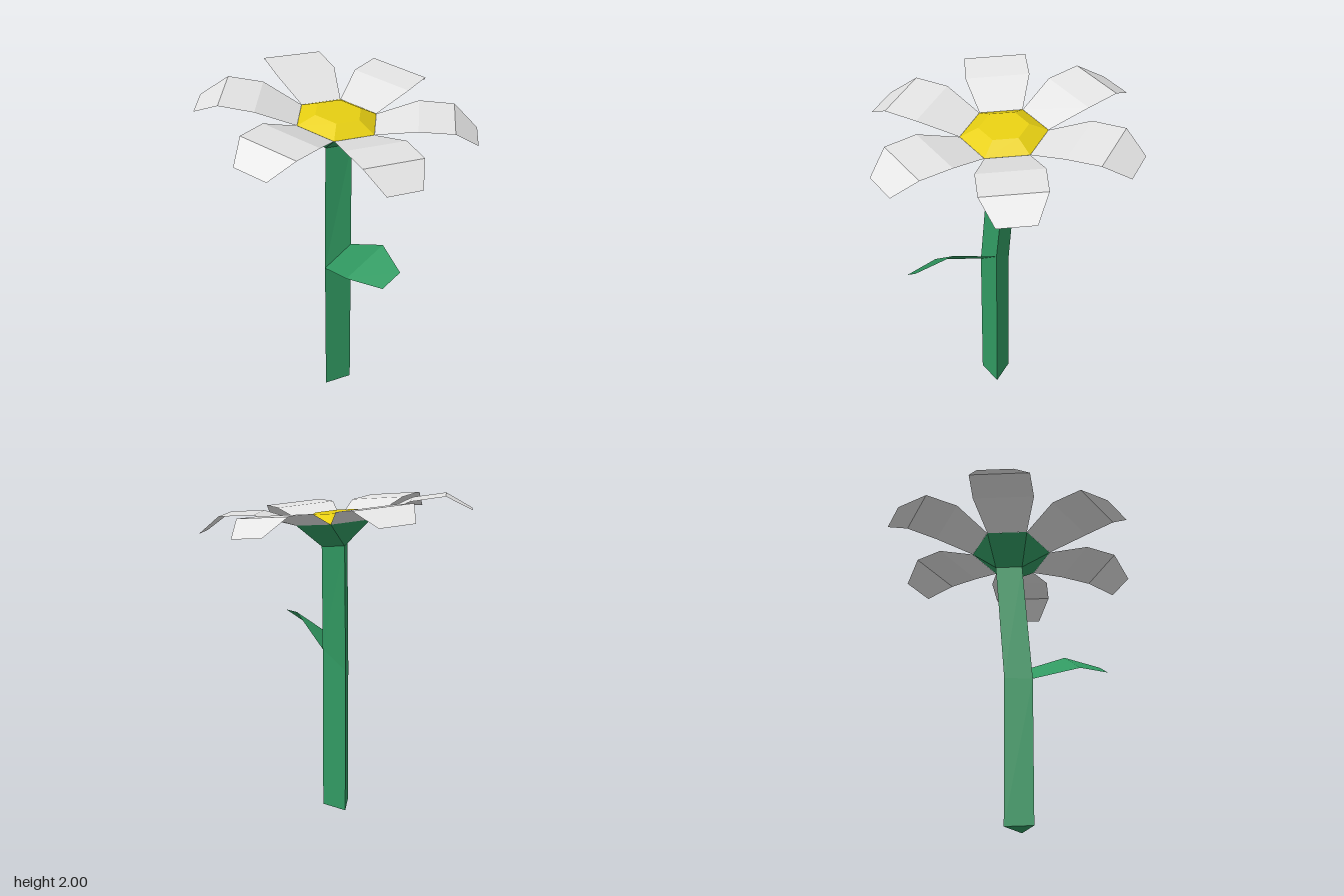
import * as THREE from 'three';

const TURN = -0.105; // heading of the first petal
const STEP = Math.PI / 3;

const polar = (a, r, y) => new THREE.Vector3(Math.sin(a) * r, y, Math.cos(a) * r);
const ring = (n, r, y, start) =>
  Array.from({ length: n }, (_, i) => polar(start + (i * 2 * Math.PI) / n, r, y));

// Flat-faced mesh from convex polygons, corners counter-clockwise from outside
function facets(name, polygons, material) {
  const points = [];
  for (const p of polygons) {
    for (let i = 1; i < p.length - 1; i++) points.push(p[0], p[i], p[i + 1]);
  }
  const geometry = new THREE.BufferGeometry().setFromPoints(points);
  geometry.computeVertexNormals();
  const mesh = new THREE.Mesh(geometry, material);
  mesh.name = name;
  return mesh;
}

// Side walls between two rings of equal count
const walls = (low, high) => low.map((p, i) => {
  const j = (i + 1) % low.length;
  return [p, low[j], high[j], high[i]];
});

export function createModel() {
  const green = new THREE.MeshStandardMaterial({ color: 0x319a62, side: THREE.DoubleSide });
  green.name = 'leaf green';
  const white = new THREE.MeshStandardMaterial({ color: 0xe4e4e4, side: THREE.DoubleSide });
  white.name = 'petal white';
  const yellow = new THREE.MeshStandardMaterial({ color: 0xe8d012 });
  yellow.name = 'centre yellow';

  const model = new THREE.Group();
  model.name = 'flower';

  // Head, tipped towards +x
  const head = new THREE.Group();
  head.name = 'flowerHead';
  head.position.set(0.005, 1.83, 0);
  head.rotation.z = -0.109;
  head.updateMatrix();
  model.add(head);

  // Cup from the three-sided stem out to the six-sided rim
  const rim = ring(6, 0.25, 0, TURN - STEP / 2);
  const neck = ring(3, 0.097, -0.145, TURN);
  const cup = [];
  for (let j = 0; j < 3; j++) {
    cup.push([neck[j], rim[2 * j + 1], rim[2 * j]]);
    cup.push([neck[j], neck[(j + 1) % 3], rim[(2 * j + 2) % 6], rim[2 * j + 1]]);
  }
  head.add(facets('cup', cup, green));

  // Raised yellow centre
  const crown = ring(6, 0.143, 0.052, TURN - STEP / 2);
  head.add(facets('centre', [...walls(rim, crown), crown], yellow));

  // Six petals: rows of [distance, half width, height]
  const rows = [[0.217, 0.125, 0], [0.452, 0.189, 0.085], [0.655, 0.184, 0.095], [0.8, 0.108, 0]];
  for (let k = 0; k < 6; k++) {
    const a = TURN + k * STEP;
    const pairs = rows.map(([d, w, y]) => [-w, w].map(
      (s) => polar(a, d, y).add(polar(a + Math.PI / 2, s, 0))));
    const faces = pairs.slice(1).map((outer, i) =>
      [outer[0], outer[1], pairs[i][1], pairs[i][0]]);
    head.add(facets('petal' + (k + 1), faces, white));
  }

  // Three-sided stem, bending halfway up to meet the head
  const axis = new THREE.Vector3(0.013, 0, 0.054);
  const base = ring(3, 0.1, 0, TURN).map((p) => p.add(axis));
  const bendHeights = [0.905, 1.03, 0.92];
  const bend = base.map((p, i) => p.clone().setY(bendHeights[i]));
  const top = neck.map((p) => p.clone().applyMatrix4(head.matrix));
  model.add(facets('stem',
    [...walls(base, bend), ...walls(bend, top), [...base].reverse()], green));

  // Folded leaf growing from the front-right stem face
  const mid = [new THREE.Vector3(0.25, 1.03, 0.35), new THREE.Vector3(0.39, 1.2, 0.17)];
  const tip = [new THREE.Vector3(0.51, 1.085, 0.415), new THREE.Vector3(0.575, 1.165, 0.33)];
  model.add(facets('leaf', [
    [bend[0], mid[0], mid[1], bend[1]],
    [mid[0], tip[0], tip[1], mid[1]],
  ], green));

  return model;
}
